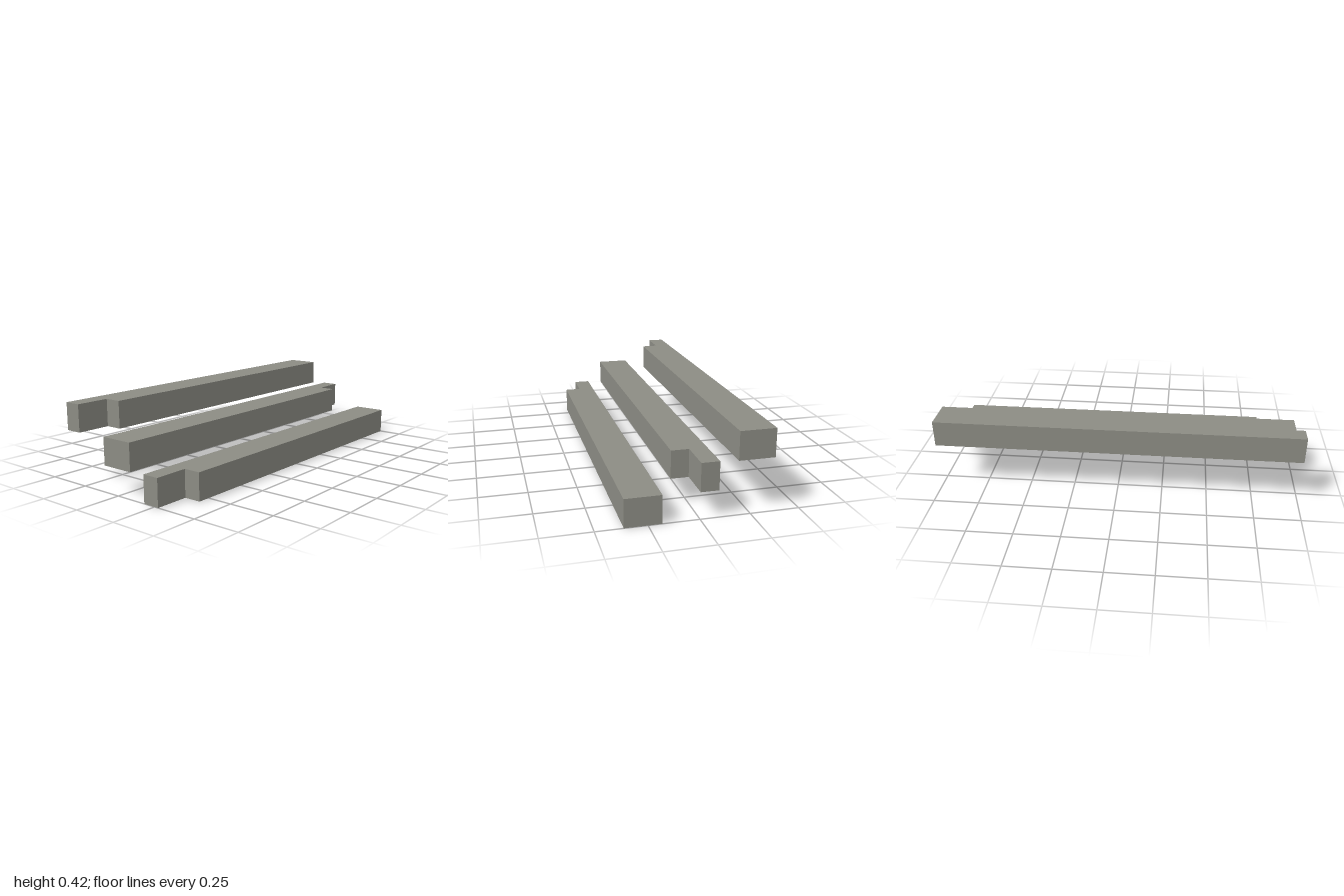
import * as THREE from 'three';

const LENGTH = 2, WIDTH = 0.182, HEIGHT = 0.145, LAP = 0.184;

// Beam with a half-width lap cut in the front of one end (side: -1 right, 1 left)
function beam(name, side, y, z, material) {
  const l = LENGTH / 2, w = WIDTH / 2;
  const points = [[-l, w], [-l, 0], [-l + LAP, 0], [-l + LAP, -w], [l, -w], [l, w]]
    .map(([x, d]) => new THREE.Vector2(-side * x, d));
  const geometry = new THREE.ExtrudeGeometry(new THREE.Shape(points), { depth: HEIGHT, bevelEnabled: false });
  geometry.rotateX(-Math.PI / 2);
  const mesh = new THREE.Mesh(geometry, material);
  mesh.name = name;
  mesh.position.set(0, y, z);
  return mesh;
}

export function createModel() {
  const group = new THREE.Group();
  group.name = 'steppedBeams';
  const stone = new THREE.MeshStandardMaterial({ color: 0x8c8c84 });
  stone.name = 'stone grey';

  // Three beams rising towards the back, laps at alternating ends
  ['lowerBeam', 'middleBeam', 'upperBeam'].forEach((name, i) => {
    group.add(beam(name, i === 1 ? 1 : -1, i * 0.1375, (1 - i) * 0.273, stone));
  });
  return group;
}
